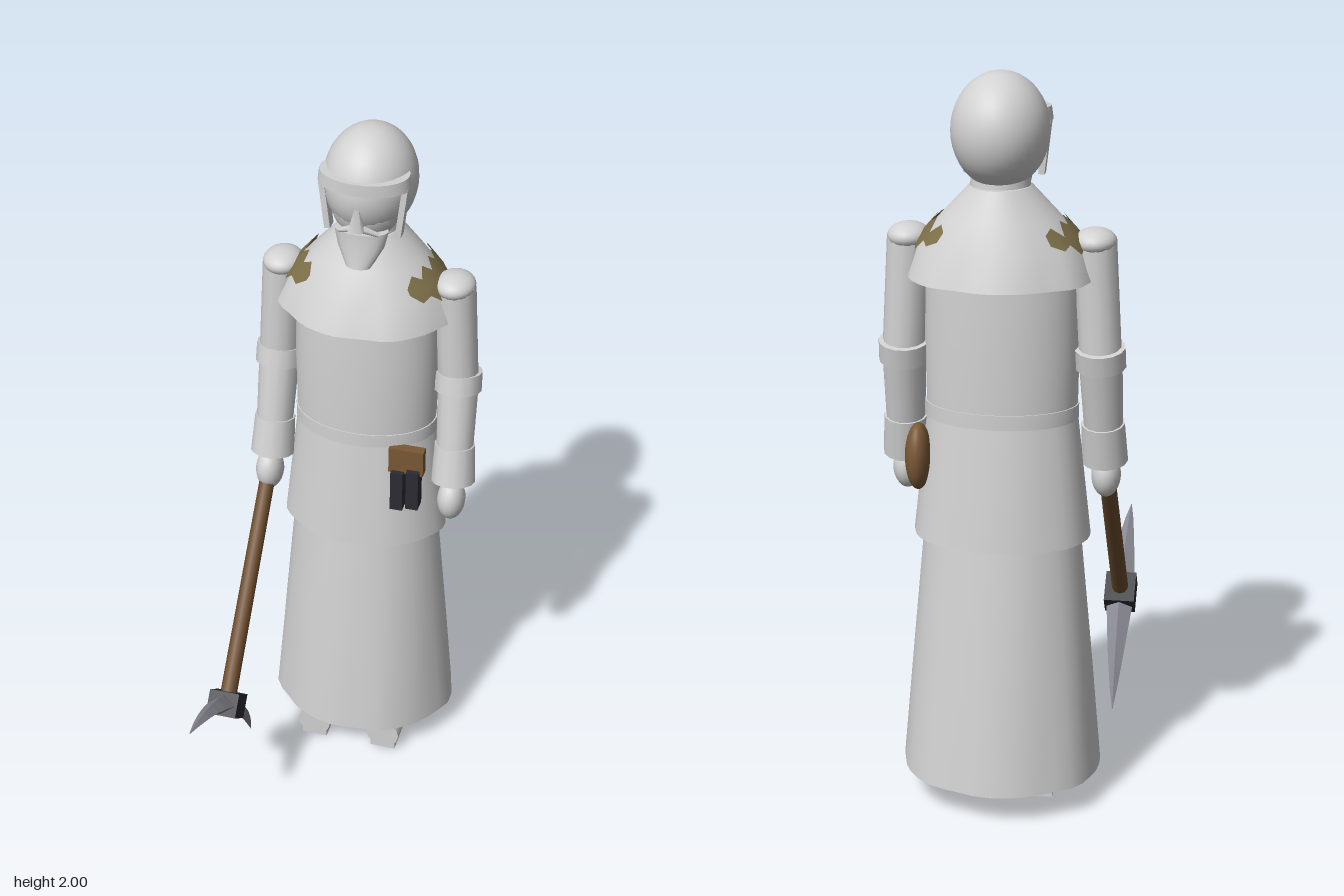
import * as THREE from 'three';

const mat = (name, color, side = THREE.FrontSide) => {
  const m = new THREE.MeshStandardMaterial({ color, side });
  m.name = name;
  return m;
};
const cloth = mat('pale grey', 0xd2d2d2);
const moss = mat('olive', 0x7d7049, THREE.DoubleSide);
const wood = mat('handle brown', 0x6e4e2f);
const leather = mat('leather brown', 0x7a5836);
const iron = mat('dark iron', 0x2b2c33);
const steel = mat('steel', 0x8b8b95);
const black = mat('eye black', 0x1c1c1e);

const V = (x, y, z) => new THREE.Vector3(x, y, z);
const BODY_Z = -0.3;

function add(parent, name, geometry, material, x = 0, y = 0, z = 0) {
  const m = new THREE.Mesh(geometry, material);
  m.name = name;
  m.position.set(x, y, z);
  parent.add(m);
  return m;
}

function ellipsoid(parent, name, material, c, r, seg = 24) {
  const g = new THREE.SphereGeometry(1, seg, Math.round(seg * 0.7)).scale(...r);
  return add(parent, name, g, material, ...c);
}

// Tapered cylinder between two points
function rod(parent, name, material, a, b, ra, rb, seg = 14) {
  const d = b.clone().sub(a);
  const m = add(parent, name, new THREE.CylinderGeometry(rb, ra, d.length(), seg), material);
  m.position.copy(a).addScaledVector(d, 0.5);
  m.quaternion.setFromUnitVectors(V(0, 1, 0), d.normalize());
  return m;
}

// Closed surface through rings of points, listed from bottom to top, each running
// from +x towards +z
function loft(rings) {
  const n = rings[0].length, pos = [], idx = [];
  rings.forEach(r => r.forEach(p => pos.push(p.x, p.y, p.z)));
  for (let i = 0; i < rings.length - 1; i++)
    for (let j = 0; j < n; j++) {
      const a = i * n + j, b = i * n + (j + 1) % n;
      idx.push(a, a + n, b, b, a + n, b + n);
    }
  [[rings[0], false], [rings[rings.length - 1], true]].forEach(([r, top]) => {
    const s = pos.length / 3, c = r.reduce((q, p) => q.add(p), V(0, 0, 0)).divideScalar(n);
    r.concat(c).forEach(p => pos.push(p.x, p.y, p.z));
    for (let j = 0; j < n; j++) {
      const k = s + (j + 1) % n;
      top ? idx.push(s + n, k, s + j) : idx.push(s + n, s + j, k);
    }
  });
  const g = new THREE.BufferGeometry();
  g.setAttribute('position', new THREE.Float32BufferAttribute(pos, 3));
  g.setIndex(idx);
  g.computeVertexNormals();
  return g;
}

// Oval ring point; fold is the depth of the cloth waves
function oval(y, rx, rz, zc, a, fold = 0) {
  const k = 1 + fold * (Math.sin(a * 7 + 0.6) + 0.5 * Math.sin(a * 12));
  return V(Math.cos(a) * rx * k, y, zc + Math.sin(a) * rz * k);
}
const angles = n => Array.from({ length: n }, (_, i) => i / n * Math.PI * 2);
const garment = (rows, n = 36) => loft(rows.map(r => angles(n).map(a => oval(r[0], r[1], r[2], r[3], a, r[4]))));

// Cape rows: height, half width, half depth, centre z, folds
const capeRows = [
  [1.47, 0.25, 0.205, -0.295, 0.02],
  [1.56, 0.215, 0.172, -0.298, 0.008],
  [1.63, 0.155, 0.137, -0.302, 0],
  [1.71, 0.08, 0.095, -0.306, 0],
];
function capePoint(y, a, lift) {
  let i = 0;
  while (i < 2 && y > capeRows[i + 1][0]) i++;
  const p = capeRows[i], q = capeRows[i + 1], t = (y - p[0]) / (q[0] - p[0]);
  const r = p.map((v, k) => v + (q[k] - v) * t);
  return oval(y + lift * 0.6, r[1] + lift, r[2] + lift, r[3], a, r[4]);
}

// Ragged moss patch lying on one shoulder of the cape
function mossPatch(parent, side) {
  const hi = [1.6, 1.615, 1.59, 1.625, 1.61, 1.63, 1.605, 1.625, 1.6, 1.615, 1.59];
  const lo = [1.575, 1.56, 1.57, 1.54, 1.555, 1.53, 1.56, 1.535, 1.56, 1.55, 1.575];
  const pos = [], idx = [], rows = 4;
  hi.forEach((h, i) => {
    const t = (i / 10 * 2 - 1) * 0.8 * side, a = side > 0 ? t : Math.PI + t;
    for (let k = 0; k <= rows; k++) {
      const p = capePoint(lo[i] + (h - lo[i]) * k / rows, a, 0.006);
      pos.push(p.x, p.y, p.z);
      if (i < 10 && k < rows) {
        const s = i * (rows + 1) + k, e = s + rows + 1;
        idx.push(s, s + 1, e, e, s + 1, e + 1);
      }
    }
  });
  const g = new THREE.BufferGeometry();
  g.setAttribute('position', new THREE.Float32BufferAttribute(pos, 3));
  g.setIndex(idx);
  g.computeVertexNormals();
  add(parent, 'mossPatch', g, moss);
}

function buildHead(g) {
  ellipsoid(g, 'head', cloth, [0, 1.85, -0.305], [0.127, 0.15, 0.147], 32);
  ellipsoid(g, 'face', cloth, [0, 1.81, -0.26], [0.1, 0.115, 0.085]);
  add(g, 'neck', new THREE.CylinderGeometry(0.075, 0.085, 0.1, 20), cloth, 0, 1.7, -0.305);
  // Brow band wrapping the front of the head
  const band = garment([[1.868, 0.127, 0.085, -0.24, 0], [1.903, 0.122, 0.085, -0.24, 0]]);
  add(g, 'browBand', band, cloth);
  // Nose wedge
  const nose = new THREE.ConeGeometry(0.03, 0.09, 4).rotateY(Math.PI / 4).scale(0.9, 1, 1);
  add(g, 'nose', nose, cloth, 0, 1.81, -0.165).rotation.x = -0.15;
  // Beard and moustache
  add(g, 'beard', garment([[1.645, 0.035, 0.025, -0.185, 0], [1.7, 0.065, 0.035, -0.205, 0],
    [1.745, 0.075, 0.04, -0.21, 0]], 16), cloth);
  for (const s of [-1, 1]) {
    add(g, 'eye', new THREE.BoxGeometry(0.034, 0.022, 0.008), black, s * 0.044, 1.836, -0.181).rotation.y = s * 0.3;
    rod(g, 'moustache', cloth, V(0, 1.77, -0.168), V(s * 0.055, 1.747, -0.183), 0.012, 0.006, 8);
    add(g, 'cheekGuard', new THREE.BoxGeometry(0.016, 0.15, 0.035), cloth, s * 0.106, 1.8, -0.235).rotation.z = -s * 0.12;
  }
}

function buildArm(g, s) {
  const arm = new THREE.Group();
  arm.name = s > 0 ? 'leftArm' : 'rightArm';
  g.add(arm);
  const shoulder = V(s * 0.243, 1.565, -0.29), elbow = V(s * 0.26, 1.25, -0.293), wrist = V(s * 0.268, 0.96, -0.235);
  const along = t => elbow.clone().lerp(wrist, t);
  ellipsoid(arm, 'shoulder', cloth, shoulder.toArray(), [0.056, 0.035, 0.064]);
  rod(arm, 'upperArm', cloth, shoulder, elbow, 0.057, 0.057);
  rod(arm, 'elbowCuff', cloth, along(-0.12), along(0.07), 0.067, 0.067);
  rod(arm, 'forearm', cloth, along(0), wrist, 0.058, 0.05);
  rod(arm, 'wristCuff', cloth, along(0.64), along(1.02), 0.058, 0.063);
  ellipsoid(arm, 'hand', cloth, [s * 0.27, 0.905, -0.212], [0.04, 0.063, 0.052], 18);
}

function buildPickaxe(g) {
  const pick = new THREE.Group();
  pick.name = 'pickaxe';
  g.add(pick);
  // Local frame: handle along -y, blades along z
  const top = V(-0.272, 0.92, -0.225), head = V(-0.272, 0.375, 0.237);
  const dir = head.clone().sub(top);
  rod(pick, 'handle', wood, top, head, 0.022, 0.024, 10);
  const tool = new THREE.Group();
  tool.name = 'pickHead';
  tool.position.copy(head);
  tool.rotation.x = -Math.atan2(dir.z, -dir.y);
  pick.add(tool);
  add(tool, 'collar', new THREE.BoxGeometry(0.088, 0.07, 0.095), iron);
  // Curved four-sided blade tapering to both tips
  const rings = [];
  for (let i = -6; i <= 6; i++) {
    const t = i / 6, w = Math.max(0.001, 0.042 * Math.pow(1 - Math.abs(t), 0.75));
    const c = V(0, -0.08 * t * t, t * 0.34);
    rings.push([[w, 0], [0, w * 0.75], [-w, 0], [0, -w * 0.75]].map(([x, y]) => V(x, c.y + y, c.z)));
  }
  const blade = loft(rings.map(r => r.slice().reverse())).toNonIndexed();
  blade.computeVertexNormals();
  add(tool, 'blade', blade, steel);
}

export function createModel() {
  const g = new THREE.Group();
  g.name = 'minerFigure';

  // Long robe, tunic, belt and cape
  add(g, 'robe', garment([[0.085, 0.272, 0.238, -0.3, 0.014], [0.4, 0.245, 0.207, -0.294, 0.007],
    [0.78, 0.21, 0.165, -0.288, 0]]), cloth);
  add(g, 'tunicSkirt', garment([[0.755, 0.238, 0.172, -0.288, 0.01], [1.1, 0.2, 0.139, -0.283, 0]]), cloth);
  add(g, 'tunic', garment([[1.09, 0.2, 0.139, -0.283, 0], [1.3, 0.204, 0.142, -0.282, 0],
    [1.5, 0.2, 0.136, -0.283, 0]]), cloth);
  add(g, 'belt', garment([[1.085, 0.204, 0.143, -0.283, 0], [1.125, 0.204, 0.143, -0.283, 0]]), cloth);
  add(g, 'cape', garment(capeRows), cloth);

  buildHead(g);
  for (const s of [-1, 1]) {
    mossPatch(g, s);
    buildArm(g, s);
    // Boots: rounded shoe lying along z, with an ankle above
    rod(g, 'boot', cloth, V(s * 0.108, 0.057, -0.35), V(s * 0.108, 0.057, -0.095), 0.055, 0.05, 12);
    rod(g, 'ankle', cloth, V(s * 0.108, 0.05, BODY_Z), V(s * 0.108, 0.3, BODY_Z), 0.06, 0.06, 12);
    add(g, 'sole', new THREE.BoxGeometry(0.075, 0.03, 0.25), cloth, s * 0.108, 0.015, -0.225);
  }

  // Tool holder on the front of the belt, and a round pouch at the left hip
  add(g, 'toolHolder', new THREE.BoxGeometry(0.1, 0.08, 0.03), leather, 0.15, 1.05, -0.162);
  for (const [x, y] of [[0.128, 0.955], [0.173, 0.965]])
    add(g, 'smallTool', new THREE.BoxGeometry(0.036, 0.125, 0.045), iron, x, y, -0.153);
  ellipsoid(g, 'hipPouch', leather, [0.215, 0.98, -0.35], [0.035, 0.092, 0.056]);

  buildPickaxe(g);
  return g;
}
